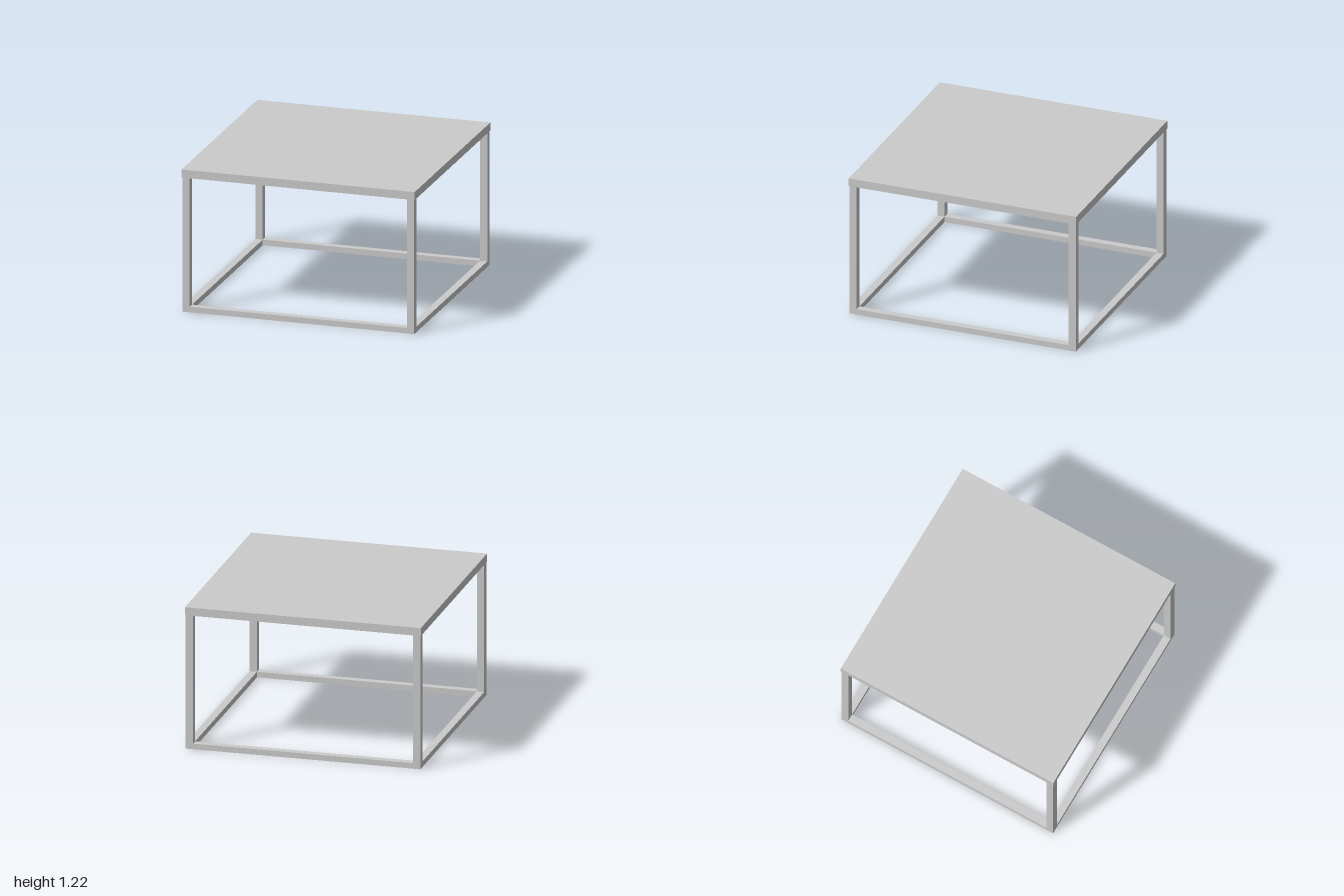
import * as THREE from 'three';

export function createModel() {
  const model = new THREE.Group();
  const material = new THREE.MeshStandardMaterial({ color: 0xcccccc });

  const outer = 0.995;      // outer half-width of the frame
  const bar = 0.063;        // width of legs and rails
  const railHeight = 0.048;
  const topBottom = 1.148, topHeight = 1.217;
  const centre = outer - bar / 2;

  function box(name, w, h, d, x, y, z) {
    const mesh = new THREE.Mesh(new THREE.BoxGeometry(w, h, d), material);
    mesh.name = name;
    mesh.position.set(x, y, z);
    model.add(mesh);
  }

  // Table top, overhanging the frame slightly
  box('tableTop', 2, topHeight - topBottom, 2, 0, (topBottom + topHeight) / 2, 0);

  // Four corner legs
  for (const [sx, side] of [[1, 'Left'], [-1, 'Right']]) {
    for (const [sz, end] of [[1, 'front'], [-1, 'back']]) {
      box(end + side + 'Leg', bar, topBottom, bar, sx * centre, topBottom / 2, sz * centre);
    }
  }

  // Floor rails joining the legs
  const span = 2 * (outer - bar);
  for (const [s, side, end] of [[1, 'left', 'front'], [-1, 'right', 'back']]) {
    box(end + 'Rail', span, railHeight, bar, 0, railHeight / 2, s * centre);
    box(side + 'Rail', bar, railHeight, span, s * centre, railHeight / 2, 0);
  }

  return model;
}
